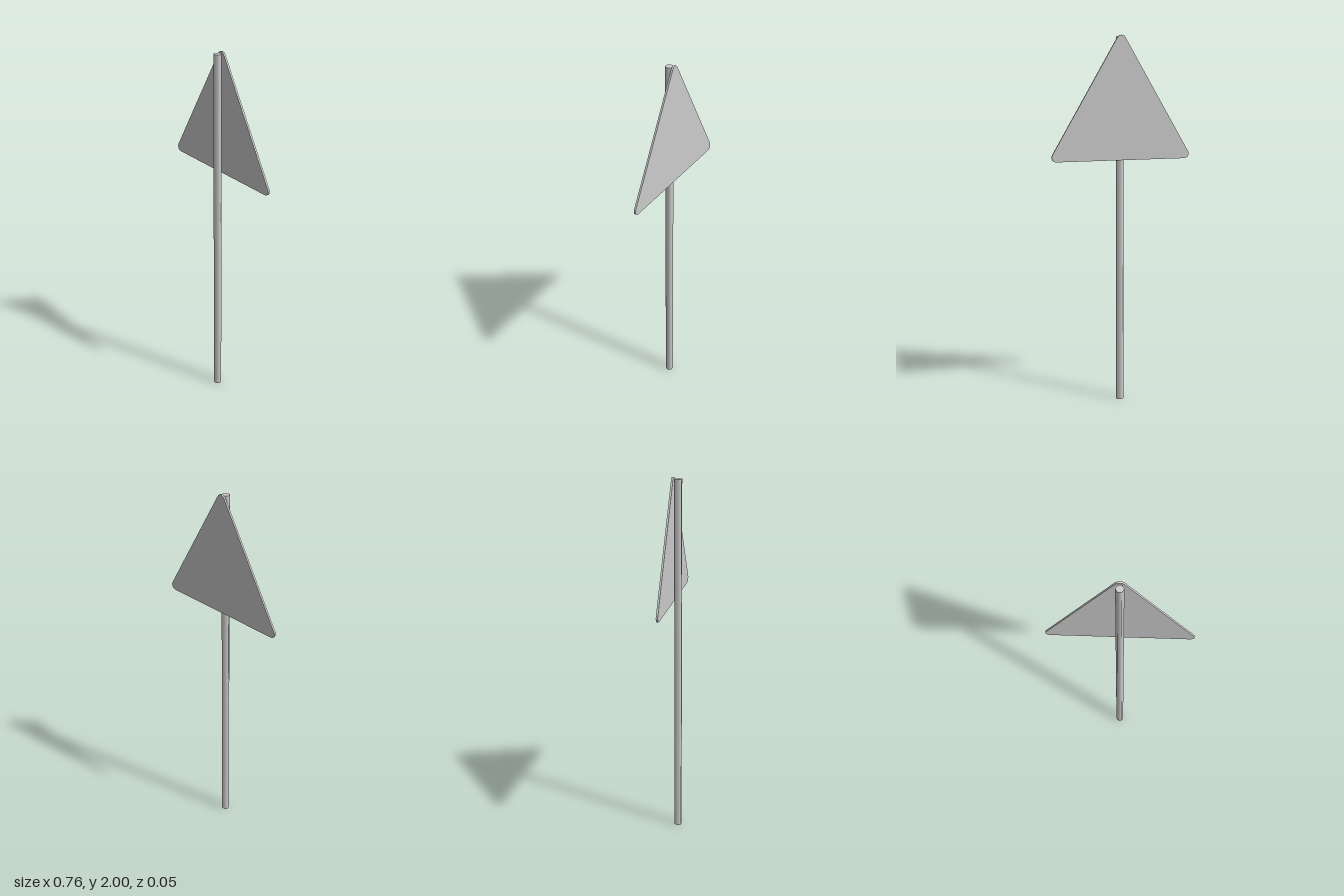
import * as THREE from 'three';

export function createModel() {
  const group = new THREE.Group();
  const material = new THREE.MeshStandardMaterial({ color: 0xcccccc });

  // Hexagonal pole with corners pointing to the sides
  const pole = new THREE.Mesh(
    new THREE.CylinderGeometry(0.021, 0.021, 1.99, 6, 1, false, Math.PI / 6),
    material
  );
  pole.name = 'pole';
  pole.position.set(0, 0.995, 0.006);
  group.add(pole);

  // Triangular sign plate with rounded corners, just behind the pole
  const radius = 0.025;
  const corners = [[-0.354, 1.367], [0.354, 1.367], [0, 1.974]];
  const outline = new THREE.Shape();
  corners.forEach(([x, y], i) => {
    const start = THREE.MathUtils.degToRad(150 + i * 120);
    outline.absarc(x, y, radius, start, start + Math.PI * 2 / 3, false);
  });
  const plate = new THREE.Mesh(
    new THREE.ExtrudeGeometry(outline, { depth: 0.01, bevelEnabled: false, curveSegments: 4 }),
    material
  );
  plate.name = 'signPlate';
  plate.position.z = -0.027;
  group.add(plate);

  return group;
}
